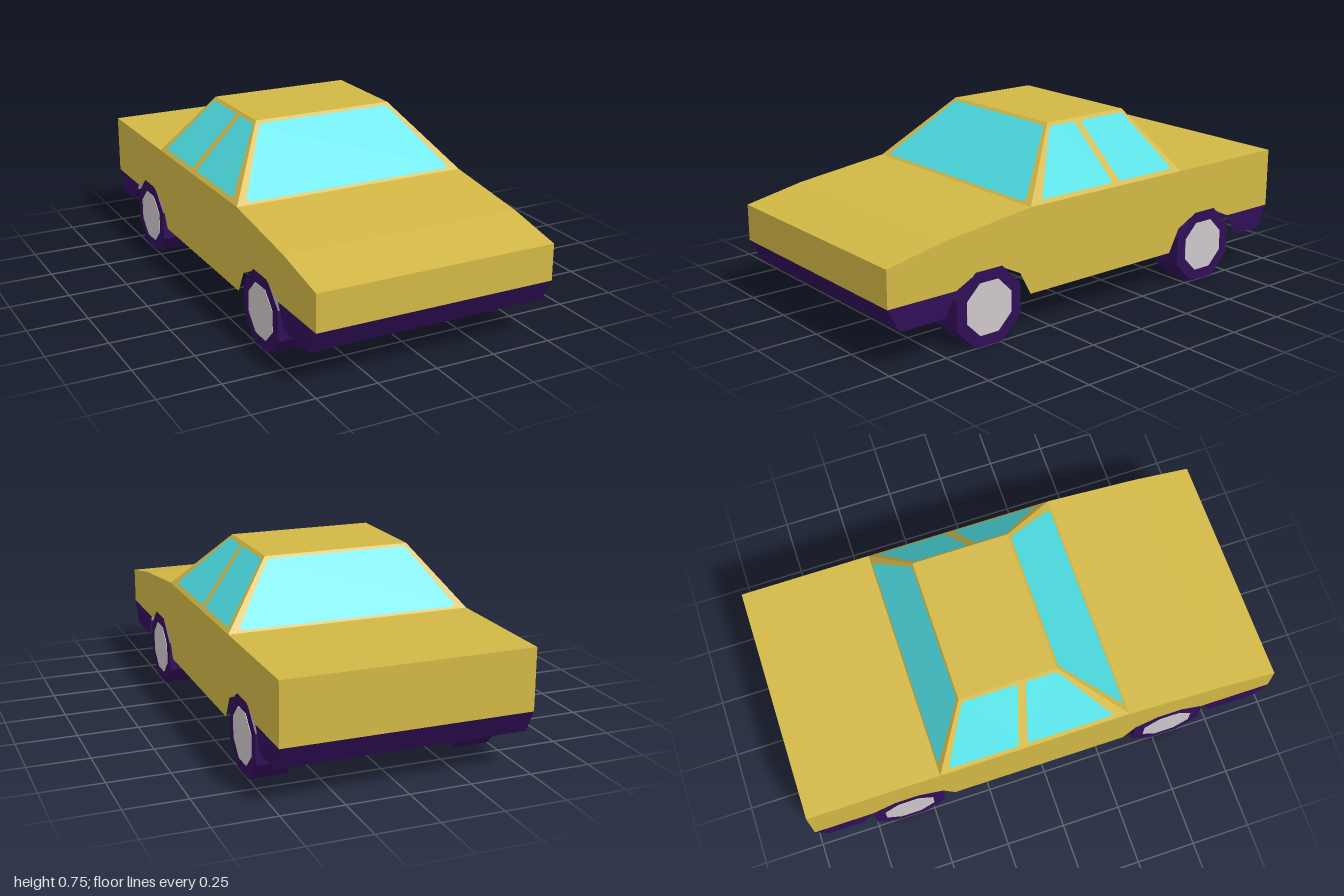
import * as THREE from 'three';

const paint = new THREE.MeshStandardMaterial({ color: 0xd2b745, side: THREE.DoubleSide });
paint.name = 'mustard paint';
const glass = new THREE.MeshStandardMaterial({ color: 0x4edee3, side: THREE.DoubleSide });
glass.name = 'cyan glass';
const rubber = new THREE.MeshStandardMaterial({ color: 0x300f58, side: THREE.DoubleSide });
rubber.name = 'dark purple rubber';
const metal = new THREE.MeshStandardMaterial({ color: 0xcec7c9 });
metal.name = 'pale hub metal';

const W = 0.5; // half width of the body

function add(group, name, geometry, material) {
  const mesh = new THREE.Mesh(geometry, material);
  mesh.name = name;
  group.add(mesh);
  return mesh;
}

const toShape = (pts) => new THREE.Shape(pts.map(([a, b]) => new THREE.Vector2(a, b)));

// Moves each vertex of a flat shape by a rule and gives it flat normals
function mapped(shape, rule) {
  const geo = new THREE.ShapeGeometry(shape).toNonIndexed();
  const pos = geo.attributes.position;
  for (let i = 0; i < pos.count; i++) pos.setXYZ(i, ...rule(pos.getX(i), pos.getY(i)));
  geo.computeVertexNormals();
  return geo;
}

// Flat sheet in the z-y plane at a given x
const sideSheet = (pts, x) => mapped(toShape(pts), (z, y) => [x, y, z]);

// Folded sheet that follows a z-y path from x0 to x1
function foldedSheet(path, x0, x1) {
  const v = [];
  for (let i = 0; i < path.length - 1; i++) {
    const [z0, y0] = path[i], [z1, y1] = path[i + 1];
    v.push(x0, y0, z0, x1, y0, z0, x1, y1, z1, x0, y0, z0, x1, y1, z1, x0, y1, z1);
  }
  const geo = new THREE.BufferGeometry();
  geo.setAttribute('position', new THREE.Float32BufferAttribute(v, 3));
  geo.computeVertexNormals();
  return geo;
}

// Cabin wall: a quad with window openings given in (u, v), filled with glass
function cabinWall(group, name, [bl, br, tr, tl], windows) {
  const rule = (u, v) => bl.map((_, i) =>
    (bl[i] * (1 - u) + br[i] * u) * (1 - v) + (tl[i] * (1 - u) + tr[i] * u) * v);
  const frame = toShape([[0, 0], [1, 0], [1, 1], [0, 1]]);
  windows.forEach((pts) => {
    frame.holes.push(new THREE.Path(pts.map(([u, v]) => new THREE.Vector2(u, v))));
    add(group, name + 'Glass', mapped(toShape(pts), rule), glass);
  });
  add(group, name + 'Frame', mapped(frame, rule), paint);
}

export function createModel() {
  const car = new THREE.Group();
  car.name = 'car';

  // Lower body: an open shell with cut wheel arches
  const frontArch = [[0.7, 0.25], [0.6, 0.3], [0.5, 0.3], [0.4, 0.25]];
  const rearArch = [[-0.45, 0.25], [-0.55, 0.3], [-0.65, 0.3], [-0.75, 0.25]];
  const sideOutline = [
    [1, 0.25], ...frontArch, [0.35, 0.155], [-0.4, 0.155], ...rearArch,
    [-1, 0.25], [-1, 0.5], [0.35, 0.5], [0.75, 0.45], [1, 0.4],
  ];
  const body = new THREE.Group();
  body.name = 'body';
  car.add(body);
  add(body, 'hoodAndNose', foldedSheet([[0.35, 0.5], [0.75, 0.45], [1, 0.4], [1, 0.25]], -W, W), paint);
  add(body, 'trunkAndTail', foldedSheet([[-1, 0.25], [-1, 0.5], [-0.45, 0.5]], -W, W), paint);
  for (const s of [-1, 1]) {
    add(body, 'bodySide', sideSheet(sideOutline, s * W), paint);
    for (const arch of [frontArch, rearArch]) {
      add(body, 'wheelArchLip', foldedSheet(arch, s * W, s * (W - 0.05)), paint);
    }
  }

  // Bumpers: tapered open skirts below the nose and tail
  const bumpers = {
    frontBumper: [[1, 0.25], [0.95, 0.155], [0.75, 0.155], [0.7, 0.25]],
    rearBumper: [[-1, 0.25], [-0.95, 0.155], [-0.8, 0.155], [-0.75, 0.25]],
  };
  for (const [name, outline] of Object.entries(bumpers)) {
    const bumper = new THREE.Group();
    bumper.name = name;
    car.add(bumper);
    add(bumper, name + 'Face', foldedSheet(outline.slice(0, 2), -W, W), rubber);
    for (const s of [-1, 1]) add(bumper, name + 'Side', sideSheet(outline, s * W), rubber);
  }

  // Cabin: tapered walls with windows, and a flat roof
  const cabin = new THREE.Group();
  cabin.name = 'cabin';
  car.add(cabin);
  const base = (s, z) => [s * W, 0.5, z];
  const top = (s, z) => [s * 0.3, 0.75, z];
  const wide = [[0.055, 0.035], [0.945, 0.035], [0.965, 0.07], [0.97, 0.92], [0.95, 0.96],
    [0.05, 0.96], [0.03, 0.92], [0.035, 0.07]];
  cabinWall(cabin, 'windshield', [base(-1, 0.35), base(1, 0.35), top(1, 0.1), top(-1, 0.1)], [wide]);
  cabinWall(cabin, 'rearWindow', [base(1, -0.45), base(-1, -0.45), top(-1, -0.3), top(1, -0.3)], [wide]);
  const frontPane = [[0.065, 0.06], [0.525, 0.06], [0.53, 0.1], [0.34, 0.95], [0.06, 0.95], [0.04, 0.9]];
  const rearPane = [[0.585, 0.06], [0.95, 0.06], [0.96, 0.1], [0.96, 0.92], [0.945, 0.95], [0.435, 0.95], [0.435, 0.9]];
  for (const s of [-1, 1]) {
    cabinWall(cabin, 'sideWindow', [base(s, 0.35), base(s, -0.45), top(s, -0.3), top(s, 0.1)], [frontPane, rearPane]);
  }
  add(cabin, 'roof', foldedSheet([[0.1, 0.75], [-0.3, 0.75]], -0.3, 0.3), paint);

  // Wheels: octagonal tyres with a hub plate on both faces
  const octagon = (apothem, width) => new THREE.CylinderGeometry(
    apothem / Math.cos(Math.PI / 8), apothem / Math.cos(Math.PI / 8), width, 8)
    .rotateY(Math.PI / 8).rotateZ(Math.PI / 2).toNonIndexed();
  const tyreGeo = octagon(0.15, 0.15);
  const hubGeo = octagon(0.104, 0.154);
  tyreGeo.computeVertexNormals();
  hubGeo.computeVertexNormals();
  for (const [label, z] of [['front', 0.55], ['rear', -0.6]]) {
    for (const s of [-1, 1]) {
      const wheel = new THREE.Group();
      wheel.name = label + (s > 0 ? 'Left' : 'Right') + 'Wheel';
      wheel.position.set(s * 0.425, 0.15, z);
      add(wheel, 'tyre', tyreGeo, rubber);
      add(wheel, 'hub', hubGeo, metal);
      car.add(wheel);
    }
  }
  return car;
}
